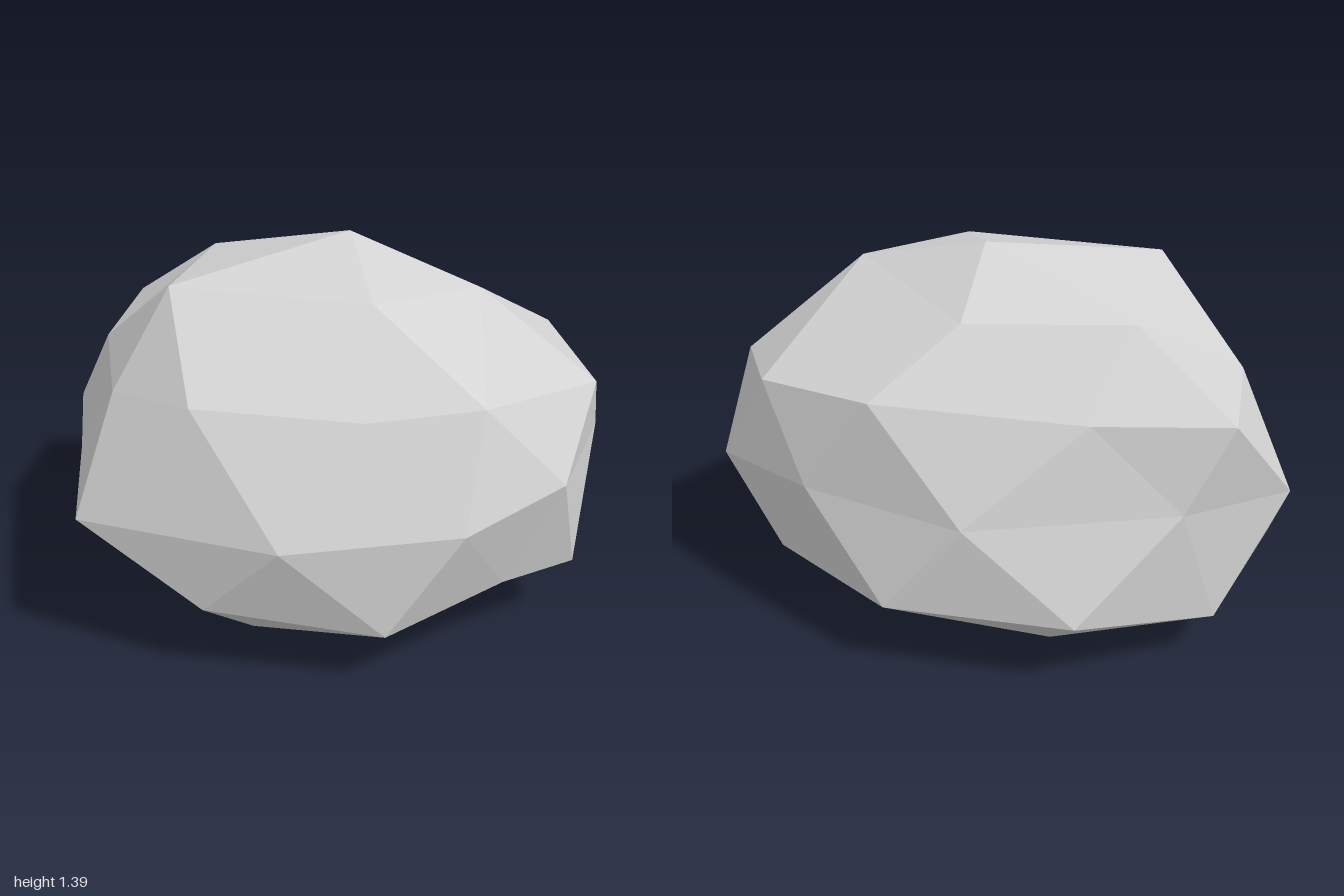
import * as THREE from 'three';

// Rings of the boulder, each running from +x towards +z
const top = [0.09, 1.39, -0.13];
const crown = [[0.57, 1.26, 0], [0.25, 1.27, 0.28], [-0.47, 1.27, 0.24], [-0.47, 1.23, -0.36], [0.1, 1.22, -0.45]];
const upper = [
  [0.99, 0.9, -0.1], [0.65, 0.99, 0.42], [0.27, 0.96, 0.54], [-0.29, 1.01, 0.65], [-0.63, 0.94, 0.42],
  [-0.8, 0.96, -0.03], [-0.82, 0.97, -0.51], [-0.36, 0.97, -0.6], [0.36, 1.01, -0.67], [0.79, 0.97, -0.49],
];
const middle = [
  [0.92, 0.67, 0.28], [0.62, 0.61, 0.6], [0.03, 0.57, 0.77], [-0.69, 0.58, 0.69], [-0.86, 0.59, 0.16],
  [-1, 0.61, -0.24], [-0.67, 0.66, -0.57], [0.03, 0.63, -0.77], [0.61, 0.65, -0.63], [1, 0.61, -0.38],
];
const lower = [
  [0.96, 0.25, 0.05], [0.73, 0.29, 0.32], [0.37, 0.23, 0.66], [-0.25, 0.29, 0.71], [-0.59, 0.31, 0.45],
  [-0.93, 0.27, 0.05], [-0.78, 0.19, -0.43], [-0.35, 0.3, -0.77], [0.31, 0.29, -0.76], [0.76, 0.32, -0.5],
];
const foot = [[0.39, 0.02, 0.13], [-0.17, 0, 0.34], [-0.49, 0.04, 0], [-0.2, 0, -0.41], [0.43, 0.03, -0.21]];
const bottom = [0, 0, -0.03];

function boulderGeometry() {
  const positions = [];
  const tri = (a, b, c) => positions.push(...a, ...b, ...c);

  // Cap: a pole, its five neighbours and the ring of ten beyond them
  const cap = (pole, five, ten, offset, flip) => {
    const face = (a, b, c) => (flip ? tri(a, c, b) : tri(a, b, c));
    for (let i = 0; i < 5; i++) {
      const next = five[(i + 1) % 5];
      const at = (k) => ten[(2 * i + offset + k + 10) % 10];
      face(pole, next, five[i]);
      face(five[i], at(1), at(0));
      face(five[i], at(0), at(-1));
      face(five[i], next, at(1));
    }
  };
  cap(top, crown, upper, 0, false);
  cap(bottom, foot, lower, 1, true);

  // Two zigzag bands around the waist
  for (let i = 0; i < 10; i++) {
    const j = (i + 1) % 10;
    tri(upper[i], upper[j], middle[i]);
    tri(middle[i], upper[j], middle[j]);
    tri(middle[i], middle[j], lower[j]);
    tri(lower[i], middle[i], lower[j]);
  }

  const geometry = new THREE.BufferGeometry();
  geometry.setAttribute('position', new THREE.Float32BufferAttribute(positions, 3));
  geometry.computeVertexNormals();
  return geometry;
}

export function createModel() {
  const stone = new THREE.MeshStandardMaterial({ color: 0xd4d4d4, flatShading: true });
  stone.name = 'paleStoneGrey';
  const boulder = new THREE.Mesh(boulderGeometry(), stone);
  boulder.name = 'boulder';
  const group = new THREE.Group();
  group.name = 'rock';
  group.add(boulder);
  return group;
}
